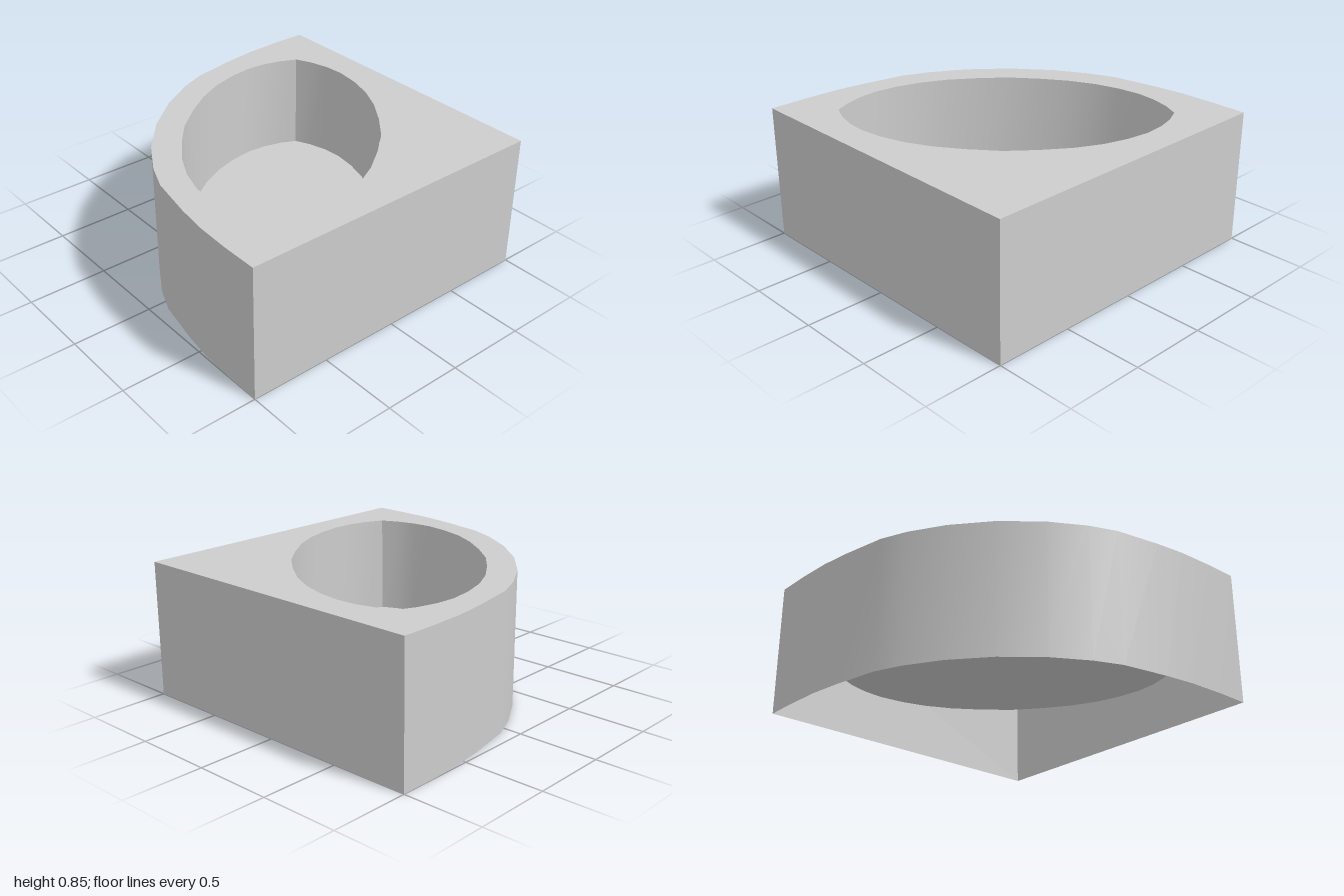
import * as THREE from 'three';
import { toCreasedNormals } from 'three/addons/utils/BufferGeometryUtils.js';

const HEIGHT = 0.85, FLOOR = 0.225;

// Outer footprint as [x, z]: a square corner closed by a bowed front.
function footprint() {
  const half = [[-1, -1], [-1, -0.78], [-0.99, -0.55], [-0.965, -0.36], [-0.91, -0.07],
    [-0.84, 0.1], [-0.715, 0.31], [-0.53, 0.53]];
  const mirrored = half.slice(0, -1).reverse().map(([x, z]) => [-z, -x]);
  return [[1, -1], ...half, ...mirrored];
}

// Pointed oval of the basin, lying along the diagonal; one quarter as [along, across].
function oval() {
  const quarter = [[1.005, 0], [0.967, 0.106], [0.905, 0.213], [0.822, 0.31], [0.7, 0.402],
    [0.556, 0.48], [0.39, 0.536], [0.2, 0.57], [0, 0.588]];
  const half = [...quarter, ...quarter.slice(1, -1).reverse().map(([u, v]) => [-u, v])];
  const full = [...half, ...half.map(([u, v]) => [-u, -v])];
  return full.map(([u, v]) => [0.012 + (u - v) * Math.SQRT1_2, -0.004 + (u + v) * Math.SQRT1_2]);
}

// Upright wall along a closed loop.
function wall(points, y0, y1) {
  const pos = [], index = [], n = points.length;
  points.forEach(([x, z], i) => {
    pos.push(x, y0, z, x, y1, z);
    const a = 2 * i, b = 2 * ((i + 1) % n);
    index.push(a, b, b + 1, a, b + 1, a + 1);
  });
  const g = new THREE.BufferGeometry();
  g.setAttribute('position', new THREE.Float32BufferAttribute(pos, 3));
  g.setIndex(index);
  return toCreasedNormals(g, 0.5);
}

// Horizontal sheet bounded by a loop, with an optional hole.
function sheet(points, y, hole) {
  const toVec = ([x, z]) => new THREE.Vector2(x, -z);
  const shape = new THREE.Shape(points.map(toVec));
  if (hole) shape.holes.push(new THREE.Path(hole.map(toVec)));
  return new THREE.ShapeGeometry(shape).rotateX(-Math.PI / 2).translate(0, y, 0);
}

export function createModel() {
  const group = new THREE.Group();
  const enamel = new THREE.MeshStandardMaterial({ color: 0xcccccc, side: THREE.DoubleSide });
  enamel.name = 'enamel';
  const add = (name, geometry) => {
    const mesh = new THREE.Mesh(geometry, enamel);
    mesh.name = name;
    group.add(mesh);
    return mesh;
  };

  const outer = footprint(), basin = oval();
  add('outerApron', wall(outer, 0, HEIGHT));
  add('rimDeck', sheet(outer, HEIGHT, basin));
  add('basinWall', wall(basin, FLOOR, HEIGHT));
  add('basinFloor', sheet(basin, FLOOR));

  // Drain in the floor and overflow on the wall nearest the square corner
  const drain = add('drain', new THREE.CylinderGeometry(0.033, 0.033, 0.006, 16));
  drain.position.set(0.19, FLOOR + 0.003, -0.185);
  const overflow = add('overflow', new THREE.CylinderGeometry(0.033, 0.033, 0.008, 16).rotateX(Math.PI / 2));
  overflow.position.set(0.423, 0.76, -0.415);
  overflow.rotation.y = -Math.PI / 4;

  return group;
}
